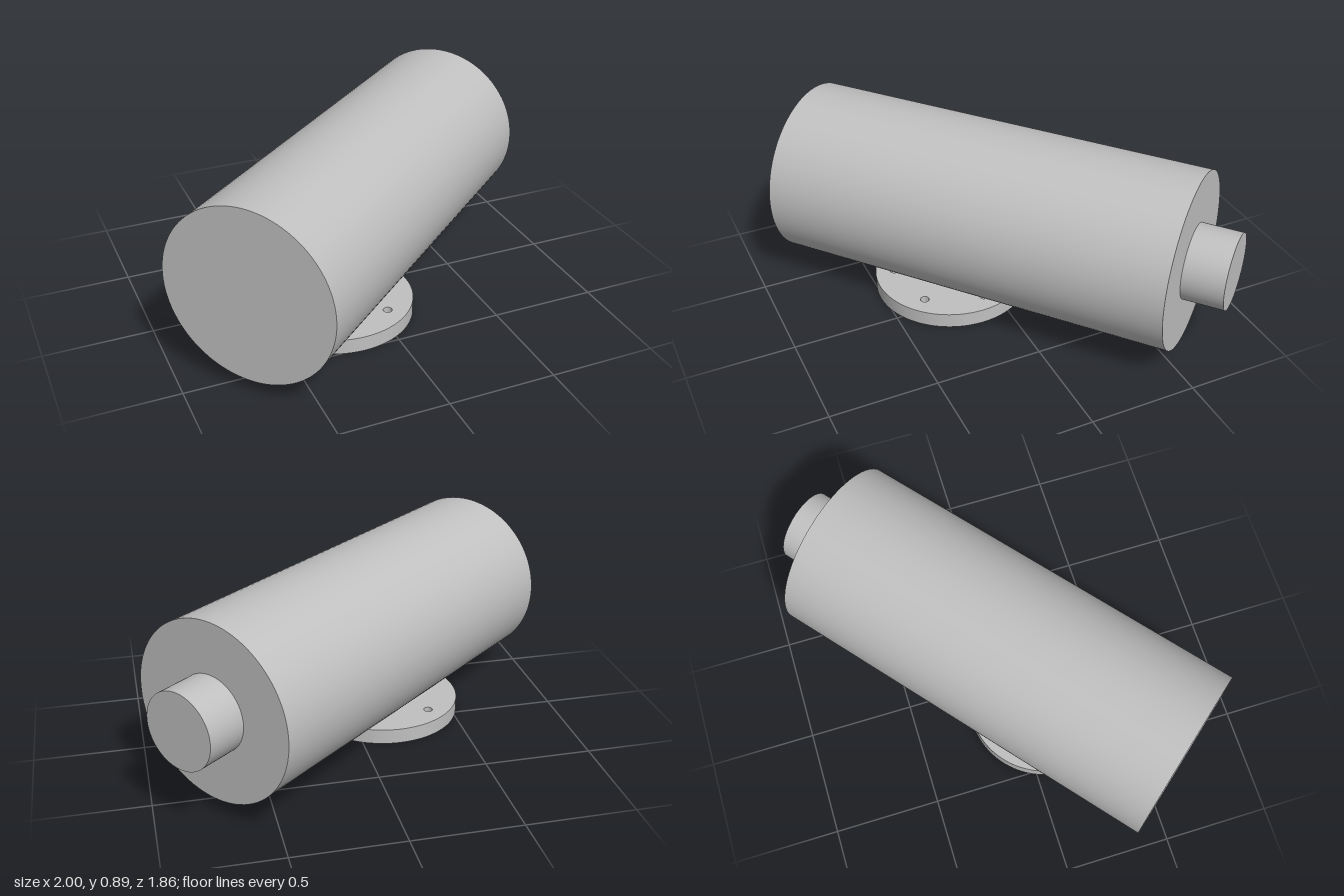
import * as THREE from 'three';
import { toCreasedNormals } from 'three/addons/utils/BufferGeometryUtils.js';

const AXIS_Y = 0.478;   // height of the cylinder axis
const BOLT_CIRCLE = 0.28;

export function createModel() {
  const metal = new THREE.MeshStandardMaterial({ color: 0xc0c0c0 });
  metal.name = 'greyMetal';

  const model = new THREE.Group();
  model.name = 'flangedCylinder';
  model.rotation.y = THREE.MathUtils.degToRad(40);

  const add = (name, geometry, parent = model) => {
    const mesh = new THREE.Mesh(geometry, metal);
    mesh.name = name;
    parent.add(mesh);
    return mesh;
  };

  // Horizontal cylinder running from x0 to x1
  const barrel = (name, radius, x0, x1) => {
    const g = new THREE.CylinderGeometry(radius, radius, x1 - x0, 96);
    g.rotateZ(-Math.PI / 2);
    g.translate((x0 + x1) / 2, AXIS_Y, 0);
    add(name, g);
  };
  barrel('mainBody', 0.408, -0.96, 0.96);
  barrel('endStub', 0.174, 0.96, 1.15);

  // Flat disc or ring from y0 to y1, with round holes given as [x, y, radius]
  const plate = (name, radius, y0, y1, holes, parent) => {
    const shape = new THREE.Shape().absarc(0, 0, radius, 0, Math.PI * 2, false);
    for (const [x, y, r] of holes) {
      shape.holes.push(new THREE.Path().absarc(x, y, r, 0, Math.PI * 2, true));
    }
    const g = new THREE.ExtrudeGeometry(shape, { depth: y1 - y0, bevelEnabled: false, curveSegments: 72 });
    g.rotateX(-Math.PI / 2);
    g.translate(0, y0, 0);
    add(name, toCreasedNormals(g, 0.6), parent);
  };

  // Mounting flange: six through holes and a ring groove underneath
  const boltHoles = [];
  for (let i = 0; i < 6; i++) {
    const a = Math.PI / 2 + (i * Math.PI) / 3;
    boltHoles.push([BOLT_CIRCLE * Math.cos(a), BOLT_CIRCLE * Math.sin(a), 0.021]);
  }
  const flange = new THREE.Group();
  flange.name = 'mountingFlange';
  flange.position.x = -0.225;
  model.add(flange);
  plate('flangePlate', 0.371, 0.02, 0.072, boltHoles, flange);
  plate('flangeFace', 0.316, 0, 0.02, boltHoles, flange);
  plate('flangeRim', 0.371, 0, 0.02, [[0, 0, 0.352]], flange);

  const root = new THREE.Group();
  root.name = 'model';
  root.add(model);
  return root;
}
